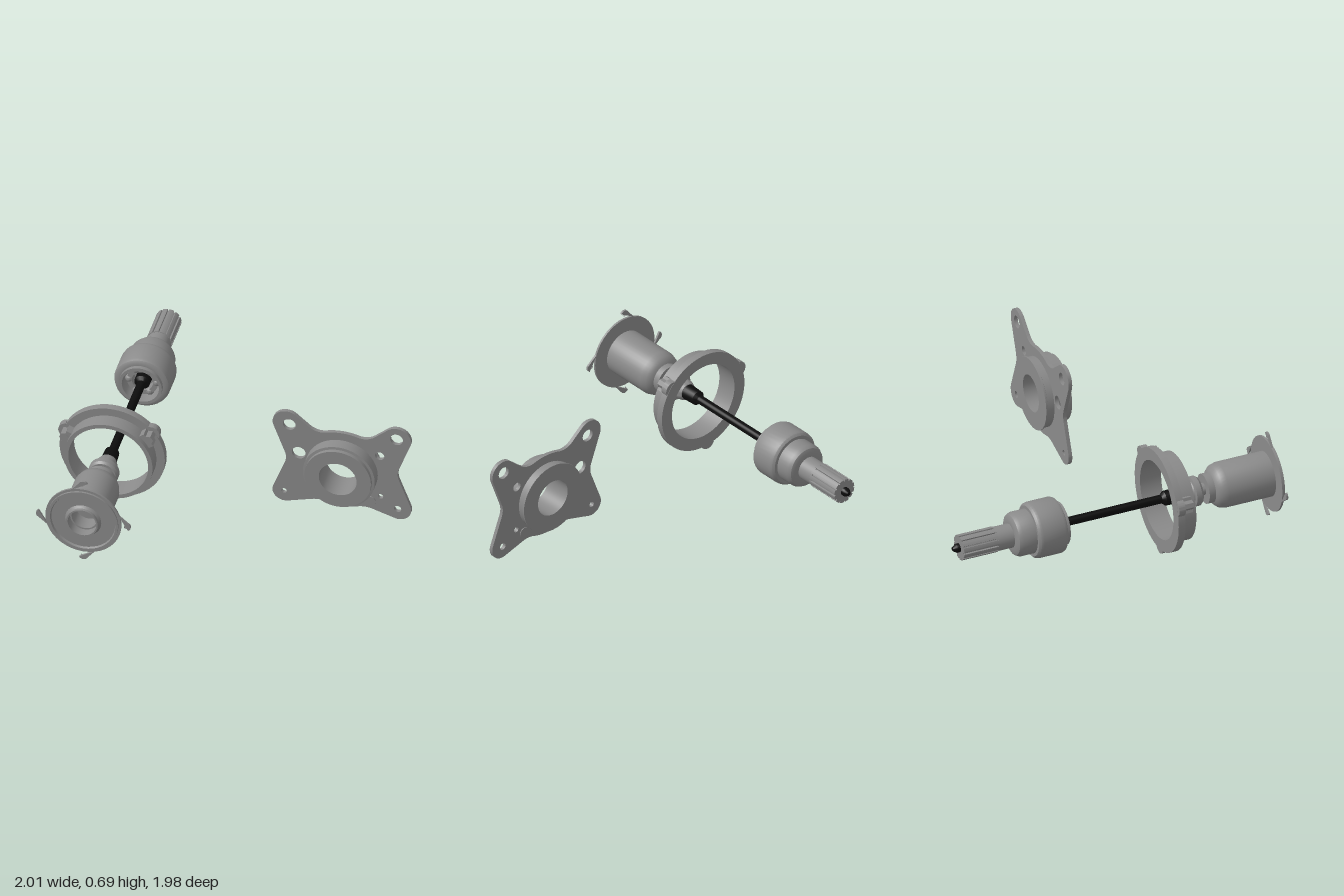
import * as THREE from 'three';
import { toCreasedNormals } from 'three/addons/utils/BufferGeometryUtils.js';

const steel = new THREE.MeshStandardMaterial({ color: 0x8a8a8a });
steel.name = 'grey steel';
const black = new THREE.MeshStandardMaterial({ color: 0x0c0c0c });
black.name = 'black shaft';

function add(parent, name, geometry, material = steel) {
  const mesh = new THREE.Mesh(toCreasedNormals(geometry, 0.6), material);
  mesh.name = name;
  parent.add(mesh);
  return mesh;
}

// Turned part around the z axis from [radius, z] pairs; outer walls run towards +z
function turned(profile, segments = 40) {
  const points = profile.map(([r, z]) => new THREE.Vector2(r, z));
  return new THREE.LatheGeometry(points, segments).rotateX(Math.PI / 2);
}

function plate(shape, z0, z1) {
  return new THREE.ExtrudeGeometry(shape, { depth: z1 - z0, bevelEnabled: false, curveSegments: 14 }).translate(0, 0, z0);
}

function drill(shape, x, y, r) {
  const hole = new THREE.Path();
  hole.absarc(x, y, r, 0, Math.PI * 2, true);
  shape.holes.push(hole);
}

function rod(r, z0, z1, x = 0, y = 0, sides = 20) {
  return new THREE.CylinderGeometry(r, r, z1 - z0, sides).rotateX(Math.PI / 2).translate(x, y, (z0 + z1) / 2);
}

// Tapered ear pointing along +x with a rounded, drilled tip
function ear(baseX, baseHalf, tipX, tipR, holeR) {
  const s = new THREE.Shape();
  s.moveTo(baseX, -baseHalf);
  s.absarc(tipX, 0, tipR, -1.1, 1.1, false);
  s.lineTo(baseX, baseHalf);
  s.closePath();
  drill(s, tipX, 0, holeR);
  return s;
}

function makeInnerHousing() {
  const g = new THREE.Group();
  g.name = 'flangedHousing';
  add(g, 'housingBody', turned([
    [0, 0.558], [0.087, 0.558], [0.087, 0.597], [0.104, 0.605], [0.122, 0.625], [0.132, 0.66],
    [0.132, 0.945], [0.22, 0.945], [0.22, 0.957], [0.205, 0.957], [0.205, 0.968], [0.19, 0.968],
    [0.185, 0.956], [0.105, 0.956], [0.092, 0.968], [0.092, 0.985], [0.083, 0.985], [0.083, 0.93],
    [0.074, 0.93], [0.074, 0.84], [0, 0.84],
  ]));
  add(g, 'centreStub', rod(0.021, 0.83, 0.86));
  for (let i = 0; i < 4; i++) {
    add(g, 'flangeEar', plate(ear(0.205, 0.07, 0.248, 0.027, 0.011), 0.945, 0.957)).rotation.z = i * Math.PI / 2;
  }
  // Neck and stepped boot in front of the shaft
  add(g, 'neck', rod(0.035, 0.52, 0.565));
  add(g, 'boot', turned([
    [0, 0.4], [0.05, 0.4], [0.06, 0.425], [0.06, 0.465], [0.068, 0.478], [0.087, 0.482],
    [0.087, 0.513], [0.076, 0.526], [0, 0.526],
  ]));
  return g;
}

function makeRing() {
  const g = new THREE.Group();
  g.name = 'mountingRing';
  add(g, 'ringBody', turned([
    [0.232, 0.27], [0.306, 0.27], [0.306, 0.312], [0.257, 0.312], [0.257, 0.4], [0.232, 0.4], [0.232, 0.27],
  ], 56));
  for (const degrees of [37.5, 159, 263]) {
    const lug = new THREE.Group();
    lug.name = 'ringLug';
    lug.rotation.z = degrees * Math.PI / 180;
    add(lug, 'lugPlate', plate(ear(0.27, 0.085, 0.285, 0.048, 0.012), 0.271, 0.311));
    const block = new THREE.BoxGeometry(0.045, 0.09, 0.06).translate(0.262, 0, 0.34);
    add(lug, 'lugBlock', block);
    add(lug, 'lugNut', rod(0.027, 0.305, 0.372, 0.285, 0, 6));
    g.add(lug);
  }
  return g;
}

function makeShaft() {
  const g = new THREE.Group();
  g.name = 'driveShaft';
  add(g, 'shaftRod', turned([
    [0, -0.42], [0.045, -0.42], [0.045, -0.35], [0.025, -0.335], [0.025, 0.295],
    [0.042, 0.315], [0.046, 0.4], [0, 0.4],
  ], 20), black);
  add(g, 'shaftTip', turned([[0, -0.99], [0.012, -0.985], [0.026, -0.962], [0.026, -0.94], [0, -0.94]], 20), black);
  return g;
}

function makeOuterJoint() {
  const g = new THREE.Group();
  g.name = 'outerJoint';
  // Hollow bell with two rounded steps and a stub axle
  add(g, 'jointBell', turned([
    [0, -0.74], [0.07, -0.74], [0.07, -0.632], [0.098, -0.632], [0.118, -0.622], [0.129, -0.6],
    [0.129, -0.518], [0.148, -0.518], [0.16, -0.506], [0.163, -0.49], [0.163, -0.36], [0.157, -0.344],
    [0.143, -0.336], [0.125, -0.336], [0.125, -0.313], [0.108, -0.313], [0.108, -0.45], [0, -0.45],
  ]));
  for (let i = 0; i < 6; i++) {
    const a = i * Math.PI / 3;
    add(g, 'bearingBall', new THREE.SphereGeometry(0.024, 12, 8).translate(0.08 * Math.cos(a), 0.08 * Math.sin(a), -0.375));
  }
  add(g, 'bearingCage', turned([[0.062, -0.42], [0.09, -0.42], [0.09, -0.36], [0.062, -0.36], [0.062, -0.42]]));
  // Splined end with narrow grooves
  const spline = new THREE.Shape();
  const teeth = 12, step = Math.PI * 2 / teeth;
  for (let i = 0; i < teeth; i++) {
    const a = i * step;
    spline.absarc(0, 0, 0.064, a - 0.05, a + 0.05, false);
    spline.absarc(0, 0, 0.074, a + 0.07, a + step - 0.07, false);
  }
  const geo = new THREE.ExtrudeGeometry(spline, { depth: 0.215, bevelEnabled: false, curveSegments: 3 });
  add(g, 'splinedEnd', geo.translate(0, 0, -0.945));
  return g;
}

function makeCarrier() {
  const g = new THREE.Group();
  g.name = 'bearingCarrier';
  const rad = d => d * Math.PI / 180;
  // Four-armed plate outline, counterclockwise from the upper right arm
  const s = new THREE.Shape();
  s.moveTo(0.395, 0.243);
  s.absarc(0.32, 0.27, 0.082, rad(-20), rad(128), false);
  s.lineTo(0.19, 0.267);
  s.quadraticCurveTo(0.15, 0.235, 0.1, 0.244);
  s.quadraticCurveTo(0, 0.274, -0.1, 0.244);
  s.quadraticCurveTo(-0.15, 0.235, -0.19, 0.267);
  s.absarc(-0.32, 0.27, 0.082, rad(52), rad(200), false);
  s.lineTo(-0.333, 0.07);
  s.quadraticCurveTo(-0.316, 0.027, -0.333, -0.015);
  s.absarc(-0.333, -0.213, 0.07, rad(160), rad(285), false);
  s.lineTo(-0.18, -0.243);
  s.quadraticCurveTo(-0.14, -0.23, -0.1, -0.24);
  s.quadraticCurveTo(0, -0.274, 0.1, -0.24);
  s.quadraticCurveTo(0.14, -0.23, 0.18, -0.243);
  s.absarc(0.33, -0.213, 0.073, rad(-105), rad(20), false);
  s.lineTo(0.333, -0.015);
  s.quadraticCurveTo(0.316, 0.027, 0.333, 0.07);
  s.closePath();
  [[0, 0, 0.15], [-0.305, 0.262, 0.037], [0.318, 0.275, 0.037], [-0.335, -0.213, 0.016], [0.325, -0.215, 0.021],
    [-0.25, 0.072, 0.04], [0.22, 0.14, 0.027], [0.225, -0.145, 0.016]].forEach(h => drill(s, ...h));
  add(g, 'carrierPlate', plate(s, 0.122, 0.144));
  add(g, 'plateBoss', rod(0.032, 0.118, 0.15, 0.165, -0.187));
  // Hub with stepped front and lipped back
  add(g, 'carrierHub', turned([
    [0.11, 0.068], [0.214, 0.068], [0.214, 0.078], [0.205, 0.082], [0.205, 0.144], [0.209, 0.144], [0.209, 0.212],
    [0.193, 0.214], [0.193, 0.236], [0.11, 0.236], [0.11, 0.068],
  ], 48));
  return g;
}

export function createModel() {
  const model = new THREE.Group();
  model.name = 'driveShaftAssembly';
  const axle = new THREE.Group();
  axle.name = 'axle';
  axle.add(makeInnerHousing(), makeRing(), makeShaft(), makeOuterJoint());
  axle.position.set(-0.695, 0.333, 0);
  const carrier = makeCarrier();
  carrier.position.set(0.595, 0.336, 0);
  model.add(axle, carrier);
  return model;
}
